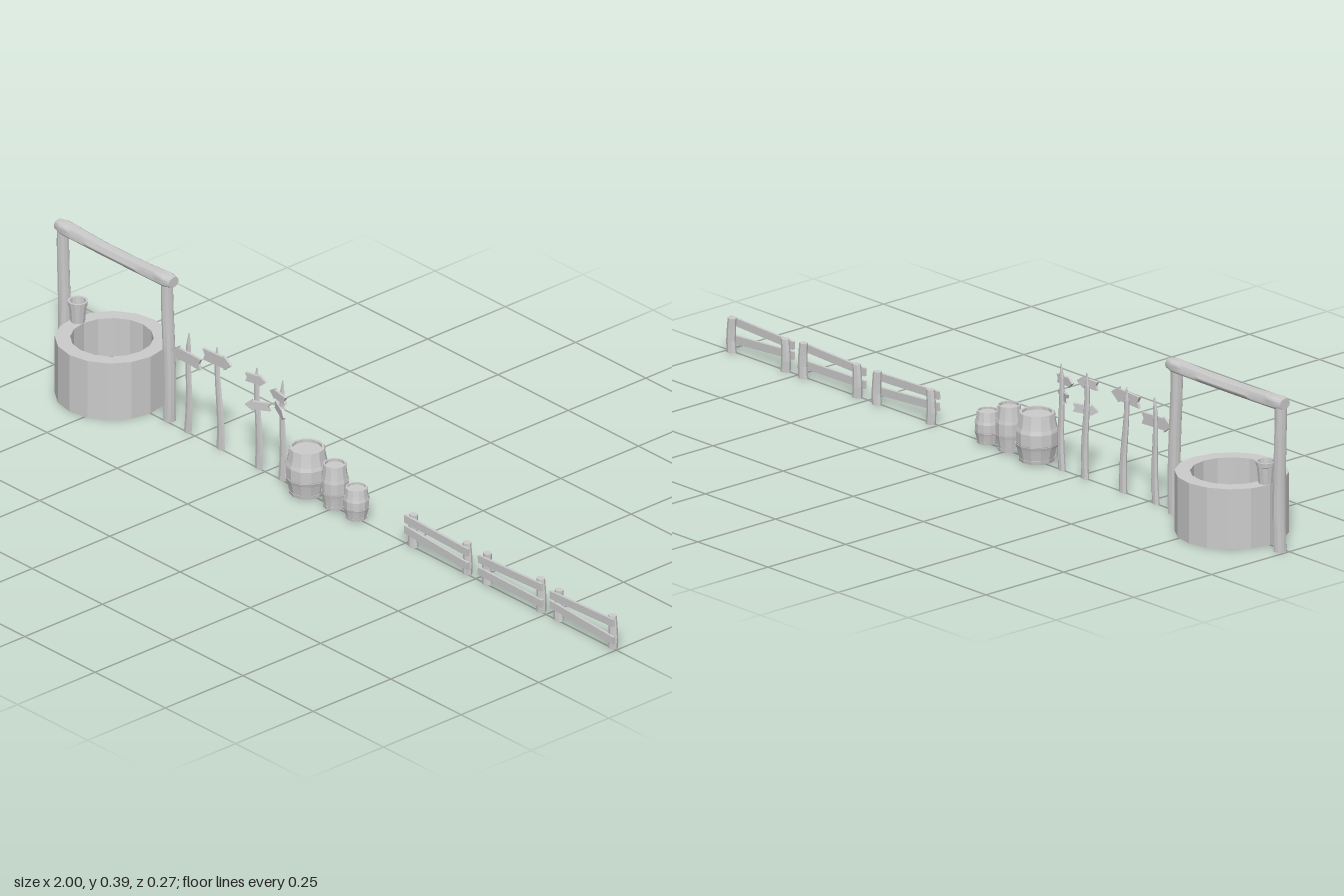
import * as THREE from 'three';
import { toCreasedNormals } from 'three/addons/utils/BufferGeometryUtils.js';

const smooth = new THREE.MeshStandardMaterial({ color: 0xcccccc });
const flat = new THREE.MeshStandardMaterial({ color: 0xcccccc, flatShading: true });
const open = new THREE.MeshStandardMaterial({ color: 0xcccccc, flatShading: true, side: THREE.DoubleSide });
const dark = new THREE.MeshStandardMaterial({ color: 0x808080, side: THREE.DoubleSide });

function add(parent, name, geometry, material, x = 0, y = 0, z = 0) {
  const mesh = new THREE.Mesh(geometry, material);
  mesh.name = name;
  mesh.position.set(x, y, z);
  parent.add(mesh);
  return mesh;
}

function group(parent, name, x = 0, y = 0) {
  const g = new THREE.Group();
  g.name = name;
  g.position.set(x, y, 0);
  parent.add(g);
  return g;
}

// Upright log from y = 0; shape(t) returns [sideways shift, radius] along its length
function log(length, sides, steps, shape, depth = 1) {
  const geo = new THREE.CylinderGeometry(1, 1, 1, sides, steps);
  const p = geo.attributes.position;
  for (let i = 0; i < p.count; i++) {
    const t = p.getY(i) + 0.5;
    const [shift, r] = shape(t);
    p.setXYZ(i, p.getX(i) * r + shift, t * length, p.getZ(i) * r * depth);
  }
  return toCreasedNormals(geo, 0.9);
}

function lathe(points, sides) {
  return new THREE.LatheGeometry(points.map(([r, y]) => new THREE.Vector2(r, y)), sides);
}

// Arrow board pointing to +x (dir 1) or -x (dir -1)
function board(length, height, dir) {
  const a = length / 2, h = height / 2;
  const pts = [[-a, -h * 0.8], [a - h * 1.5, -h * 0.8], [a - h * 1.5, -h * 1.1], [a, 0],
    [a - h * 1.5, h * 1.1], [a - h * 1.5, h * 0.8], [-a, h * 0.8], [-a + h * 0.4, 0]];
  const shape = new THREE.Shape(pts.map(([x, y]) => new THREE.Vector2(x * dir, y)));
  const geo = new THREE.ExtrudeGeometry(shape, { depth: 0.007, bevelEnabled: false });
  return geo.translate(0, 0, -0.0035);
}

function makeWell(parent) {
  const well = group(parent, 'well', -0.795);
  add(well, 'stoneRing', lathe([[0.137, 0], [0.137, 0.152], [0.1, 0.152], [0.1, 0.05]], 16), open);
  add(well, 'water', lathe([[0.1, 0.05], [0, 0.05]], 16), dark);
  // Two gently bent posts
  for (const s of [-1, 1]) {
    const post = log(0.372, 12, 8, t => [0.003 * Math.sin(t * 5) - (s > 0 ? 0.006 * t : 0), 0.016 - 0.001 * t]);
    add(well, 'post', post, smooth, s * 0.188 + 0.003, 0, -0.012);
  }
  // Sagging crossbeam with thicker, rounded ends
  const beam = log(0.41, 16, 20, t => {
    const e = Math.abs(2 * t - 1);
    return [0.005 * (1 - e * e), e > 0.99 ? 0.0135 : 0.0155 + 0.003 * e * e];
  }, 1.17);
  beam.rotateZ(-Math.PI / 2);
  add(well, 'crossbeam', beam, smooth, -0.205 + 0.002, 0.375, -0.012);
  add(well, 'bucket', lathe([[0, 0], [0.018, 0], [0.022, 0.043], [0.024, 0.044], [0.025, 0.055],
    [0.02, 0.055], [0.016, 0.008], [0, 0.008]], 12), open, -0.118, 0.152, 0.003);
}

// boards: [x, y, length, height, direction, tilt, turn]
function makeSign(parent, x, lean, width, boards) {
  const sign = group(parent, 'signpost', x);
  const post = log(0.268, 7, 8, t => [lean * (t - 0.5) + 0.003 * Math.sin(t * 6),
    t > 0.99 ? 0.002 : width * (1 - 0.45 * t)], 0.55);
  add(sign, 'signPost', post, flat, 0, 0, -0.001);
  for (const [bx, by, len, h, dir, tilt, turn] of boards) {
    const b = add(sign, 'arrowBoard', board(len, h, dir), flat, bx, by, 0.005);
    b.rotation.set(0, turn, tilt);
  }
}

function makeBarrel(parent, x, r, h) {
  const barrel = group(parent, 'barrel', x, 0.004);
  const y = t => t * h;
  add(barrel, 'staves', lathe([[0, y(0.04)], [r * 0.7, y(0.04)], [r * 0.7, 0], [r * 0.79, 0], [r * 0.88, y(0.2)],
    [r * 0.97, y(0.38)], [r * 0.97, y(0.62)], [r * 0.88, y(0.8)], [r * 0.79, y(1)],
    [r * 0.7, y(1)], [r * 0.7, y(0.94)], [0, y(0.94)]], 12), flat);
  // Hoops: bottom, middle pair, top
  for (const [t, a, b] of [[0, 0.82, 0.85], [0.29, 0.95, 1], [0.63, 1, 0.95], [0.93, 0.85, 0.82]]) {
    add(barrel, 'hoop', lathe([[r * 0.75, y(t)], [r * a, y(t)], [r * b, y(t + 0.07)], [r * 0.75, y(t + 0.07)]], 12), flat);
  }
}

// rails: [left end height, right end height]
function makeFence(parent, x, rails, heights) {
  const fence = group(parent, 'fence', x);
  [-1, 1].forEach((s, i) => {
    const post = log(heights[i], 8, 3, t => [s * 0.002 * Math.sin(t * 4), 0.0135 - 0.002 * t], 0.85);
    add(fence, 'fencePost', post, flat, s * 0.096, 0, -0.004);
  });
  for (const [y0, y1] of rails) {
    const rail = add(fence, 'rail', new THREE.BoxGeometry(0.226, 0.02, 0.007), flat, 0, (y0 + y1) / 2, 0.0075);
    rail.rotation.z = Math.atan2(y1 - y0, 0.226);
  }
}

export function createModel() {
  const model = new THREE.Group();
  model.name = 'villageProps';
  makeWell(model);

  makeSign(model, -0.523, 0.006, 0.012, [[-0.001, 0.205, 0.105, 0.036, -1, -0.03, 0]]);
  makeSign(model, -0.415, -0.012, 0.013, [[0.002, 0.24, 0.1, 0.036, 1, 0.05, 0]]);
  makeSign(model, -0.276, -0.006, 0.013, [
    [0, 0.24, 0.064, 0.028, 1, 0.05, 0.15], [0.006, 0.172, 0.066, 0.026, -1, 0.06, 0.45]]);
  makeSign(model, -0.189, 0.004, 0.012, [
    [-0.008, 0.226, 0.066, 0.026, -1, -0.05, -0.15], [-0.001, 0.188, 0.073, 0.026, 1, -0.04, -0.45]]);

  makeBarrel(model, -0.101, 0.053, 0.121);
  makeBarrel(model, -0.002, 0.034, 0.114);
  makeBarrel(model, 0.075, 0.032, 0.08);

  makeFence(model, 0.369, [[0.072, 0.066], [0.043, 0.029]], [0.086, 0.083]);
  makeFence(model, 0.632, [[0.064, 0.073], [0.032, 0.029]], [0.083, 0.088]);
  makeFence(model, 0.887, [[0.066, 0.075], [0.041, 0.028]], [0.082, 0.086]);
  return model;
}
